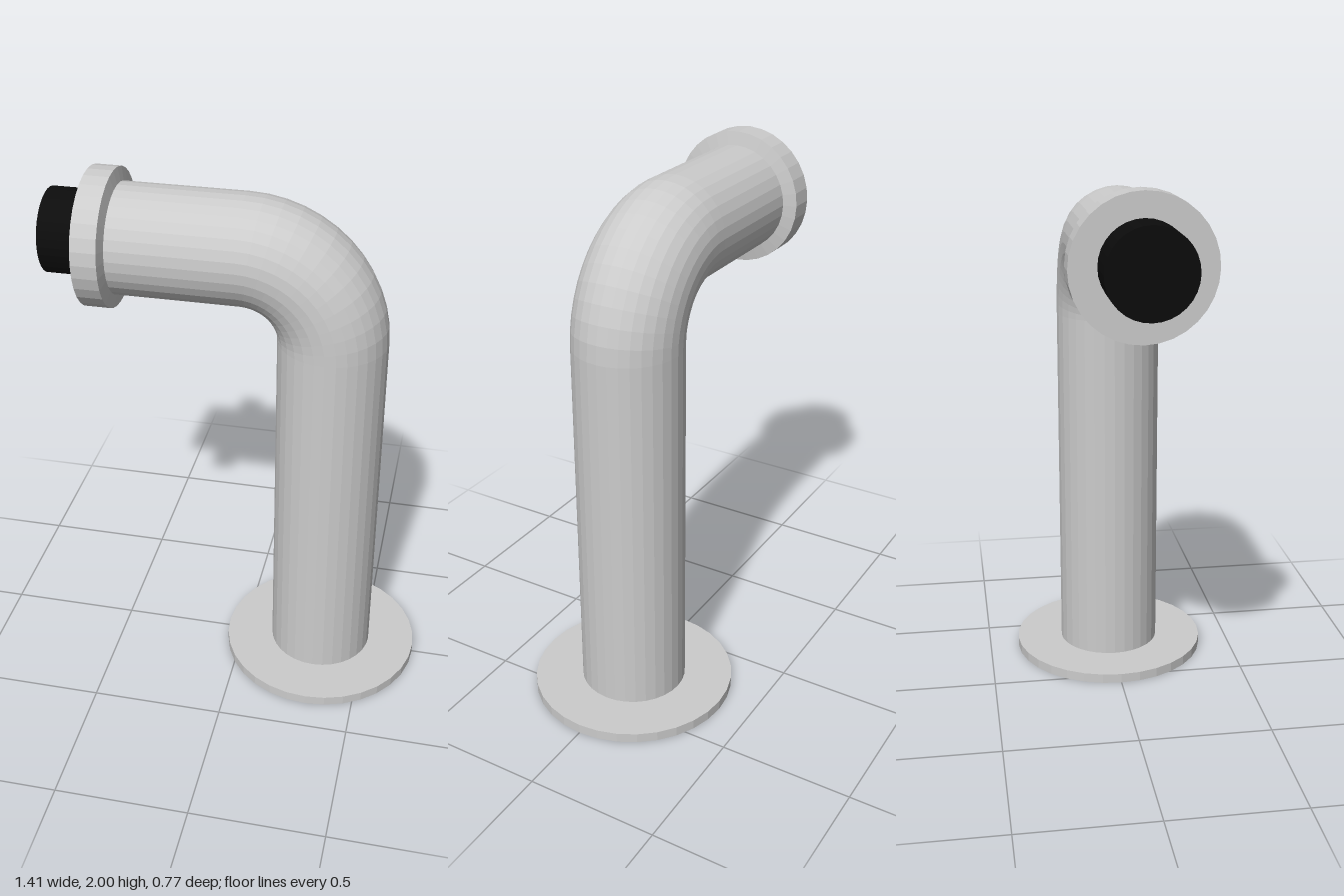
import * as THREE from 'three';

const SIDES = 32;
const PIPE_R = 0.2;   // pipe radius
const BEND_R = 0.32;  // bend centreline radius
const BEND_Y = 1.43;  // height where the bend starts
const ARM_Y = BEND_Y + BEND_R;

const grey = new THREE.MeshStandardMaterial({ color: 0xcccccc, flatShading: true });
const black = new THREE.MeshStandardMaterial({ color: 0x0c0c0c, flatShading: true });

function part(name, geometry, material, x, y) {
  const mesh = new THREE.Mesh(geometry, material);
  mesh.name = name;
  mesh.position.set(x, y, 0);
  return mesh;
}

// cylinder lying along x, from x0 to x1
function armCylinder(name, radius, x0, x1, y, material, open) {
  const geometry = new THREE.CylinderGeometry(radius, radius, x1 - x0, SIDES, 1, open);
  geometry.rotateZ(Math.PI / 2);
  return part(name, geometry, material, (x0 + x1) / 2, y);
}

export function createModel() {
  const group = new THREE.Group();
  group.name = 'bentPipe';

  // round foot plate
  const baseH = 0.037;
  group.add(part('basePlate', new THREE.CylinderGeometry(0.383, 0.383, baseH, SIDES), grey, BEND_R, baseH / 2));

  // upright, quarter bend and horizontal arm
  const uprightH = BEND_Y - baseH;
  group.add(part('upright', new THREE.CylinderGeometry(PIPE_R, PIPE_R, uprightH, SIDES, 1, true),
    grey, BEND_R, baseH + uprightH / 2));
  group.add(part('bend', new THREE.TorusGeometry(BEND_R, PIPE_R, SIDES, 12, Math.PI / 2), grey, 0, BEND_Y));
  group.add(armCylinder('arm', PIPE_R, -0.5, 0, ARM_Y, grey, true));

  // collar with a slightly conical inner face
  const profile = [[0.19, 0.449], [0.25, 0.462], [0.25, 0.555], [0, 0.555]]
    .map(([r, d]) => new THREE.Vector2(r, d));
  const collar = new THREE.LatheGeometry(profile, SIDES);
  collar.rotateZ(Math.PI / 2);
  group.add(part('collar', collar, grey, 0, ARM_Y));

  // dark spigot at the open end
  group.add(armCylinder('spigot', 0.153, -0.707, -0.54, 1.76, black, false));

  return group;
}
